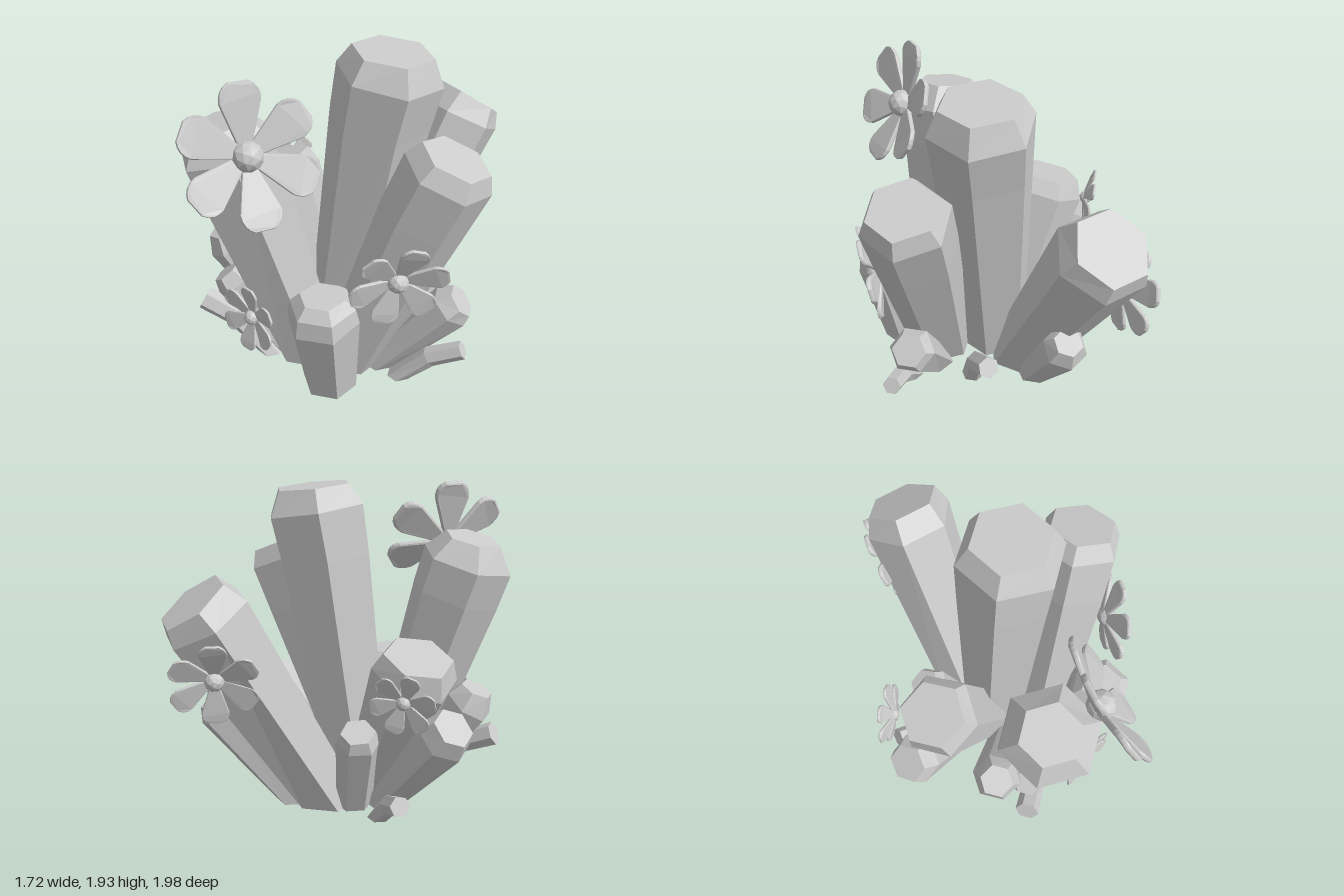
import * as THREE from 'three';

const UP = new THREE.Vector3(0, 1, 0);
const mat = () => new THREE.MeshStandardMaterial({ color: 0xcccccc, flatShading: true, side: THREE.DoubleSide });

// Six-sided column through rings of [x, y, z, radius]; the foot ring lies flat, the others follow the path.
function crystal(name, rings, phase = 0) {
  const n = 6, pos = [], idx = [];
  const pts = rings.map(r => new THREE.Vector3(r[0], r[1], r[2]));
  rings.forEach((r, i) => {
    const q = new THREE.Quaternion();
    if (i > 0) {
      const dir = pts[Math.min(i + 1, pts.length - 1)].clone().sub(pts[i - 1]).normalize();
      q.setFromUnitVectors(UP, dir);
    }
    for (let k = 0; k < n; k++) {
      const a = phase + k / n * Math.PI * 2;
      const v = new THREE.Vector3(Math.cos(a) * r[3], 0, -Math.sin(a) * r[3]).applyQuaternion(q).add(pts[i]);
      pos.push(v.x, v.y, v.z);
    }
  });
  for (let i = 0; i < rings.length - 1; i++) {
    for (let k = 0; k < n; k++) {
      const a = i * n + k, b = i * n + (k + 1) % n;
      idx.push(a, b, b + n, a, b + n, a + n);
    }
  }
  const top = (rings.length - 1) * n;
  for (let k = 1; k < n - 1; k++) idx.push(0, k + 1, k, top, top + k, top + k + 1);
  const geo = new THREE.BufferGeometry();
  geo.setAttribute('position', new THREE.Float32BufferAttribute(pos, 3));
  geo.setIndex(idx);
  geo.computeVertexNormals();
  const mesh = new THREE.Mesh(geo, mat());
  mesh.name = name;
  return mesh;
}

// Unit petal pointing along +x: a wedge with a blunt rounded end, thick and slightly cupped
function petalGeometry() {
  const s = new THREE.Shape();
  s.moveTo(0.12, -0.06);
  s.lineTo(0.74, -0.26);
  s.quadraticCurveTo(0.9, -0.27, 0.97, -0.13);
  s.lineTo(0.97, 0.13);
  s.quadraticCurveTo(0.9, 0.27, 0.74, 0.26);
  s.lineTo(0.12, 0.06);
  s.closePath();
  const g = new THREE.ExtrudeGeometry(s, {
    depth: 0.03, bevelThickness: 0.03, bevelSize: 0.03, bevelSegments: 2, curveSegments: 4,
  });
  const p = g.attributes.position;
  for (let i = 0; i < p.count; i++) {
    const x = p.getX(i), y = p.getY(i);
    p.setZ(i, p.getZ(i) + 0.2 * x * x + 0.8 * y * y - 0.05);
  }
  g.computeVertexNormals();
  return g;
}

function flower(name, at, facing, radius, spin, petalGeo) {
  const g = new THREE.Group();
  g.name = name;
  for (let k = 0; k < 6; k++) {
    const petal = new THREE.Mesh(petalGeo, mat());
    petal.name = 'petal';
    petal.rotation.z = spin + k * Math.PI / 3;
    g.add(petal);
  }
  const heart = new THREE.Mesh(new THREE.IcosahedronGeometry(0.22, 1), mat());
  heart.name = 'flowerCentre';
  heart.position.z = 0.03;
  g.add(heart);
  g.scale.setScalar(radius);
  g.position.set(...at);
  g.lookAt(g.position.clone().add(new THREE.Vector3(...facing)));
  return g;
}

export function createModel() {
  const group = new THREE.Group();
  group.name = 'crystalCluster';
  const T = Math.PI / 6;

  // Large columns
  group.add(
    crystal('tallCrystal', [[-0.04, 0.03, 0, 0.22], [0.18, 1.5, 0, 0.29], [0.235, 1.78, 0, 0.305], [0.25, 1.915, 0, 0.23]]),
    crystal('frontRightwardCrystal', [[0.1, 0.03, 0.32, 0.2], [0.5, 1.1, 0.32, 0.25], [0.62, 1.39, 0.32, 0.255], [0.66, 1.485, 0.32, 0.2]]),
    crystal('frontLeaningCrystal', [[-0.17, 0.03, 0.32, 0.2], [-0.51, 1.25, 0.4, 0.275], [-0.57, 1.46, 0.42, 0.28], [-0.6, 1.6, 0.42, 0.17]]),
    crystal('backLeaningCrystal', [[0.08, 0.03, -0.22, 0.22], [0.56, 1.27, -0.7, 0.27], [0.61, 1.37, -0.75, 0.22]], T / 2),
    crystal('backStoutCrystal', [[-0.14, 0.03, -0.03, 0.18], [-0.49, 0.95, -0.24, 0.25], [-0.52, 1.06, -0.26, 0.2]], T),
    crystal('frontStoutCrystal', [[0.03, 0.015, 0.57, 0.16], [0.02, 0.58, 0.66, 0.21], [0.02, 0.67, 0.665, 0.19], [0.02, 0.73, 0.665, 0.13]]),
  );

  // Middle-sized columns around the edge
  const medium = [
    [[-0.28, 0.03, -0.14, 0.12], [-0.71, 0.65, -0.34, 0.16], [-0.77, 0.73, -0.37, 0.12]],
    [[-0.3, 0.03, 0.14, 0.12], [-0.7, 0.64, 0.17, 0.15], [-0.74, 0.74, 0.18, 0.1]],
    [[-0.32, 0.03, 0.32, 0.1], [-0.62, 0.5, 0.36, 0.12], [-0.67, 0.56, 0.36, 0.09]],
    [[-0.12, 0.03, -0.24, 0.11], [-0.22, 0.55, -0.4, 0.13], [-0.23, 0.62, -0.43, 0.1]],
    [[0.28, 0.03, 0.32, 0.12], [0.69, 0.52, 0.32, 0.135], [0.75, 0.57, 0.32, 0.1]],
    [[0.25, 0.03, -0.33, 0.11], [0.61, 0.64, -0.55, 0.13], [0.64, 0.71, -0.57, 0.085]],
  ];
  medium.forEach(r => group.add(crystal('mediumCrystal', r, T)));

  // Thin bent shoots near the ground
  const shoots = [
    [[-0.4, 0.03, 0.4, 0.08], [-0.61, 0.26, 0.4, 0.07], [-0.81, 0.36, 0.4, 0.075]],
    [[0.42, 0.03, 0.43, 0.07], [0.6, 0.21, 0.43, 0.06], [0.79, 0.3, 0.43, 0.055]],
    [[0.35, 0.03, 0.05, 0.07], [0.44, 0.24, 0, 0.065], [0.6, 0.37, -0.11, 0.065]],
    [[-0.32, 0.03, -0.32, 0.07], [-0.43, 0.2, -0.43, 0.06], [-0.54, 0.28, -0.55, 0.06]],
  ];
  shoots.forEach(r => group.add(crystal('bentShoot', r, T)));

  // Flowers
  const petalGeo = petalGeometry();
  group.add(
    flower('largeFlower', [-0.37, 1.53, 0.63], [0.57, 0.4, 0.67], 0.38, 1.55, petalGeo),
    flower('frontFlower', [0.42, 0.85, 0.59], [0.4, -0.17, 0.9], 0.275, 0.2, petalGeo),
    flower('smallFrontFlower', [-0.4, 0.5, 0.66], [-0.45, 0.1, 0.88], 0.205, 1.57, petalGeo),
    flower('smallBackFlower', [-0.53, 0.89, -0.51], [-0.1, -0.15, -0.97], 0.185, 0.2, petalGeo),
    flower('backFlower', [0.44, 0.97, -0.83], [-0.5, -0.25, -0.8], 0.255, 0.5, petalGeo),
  );
  return group;
}
